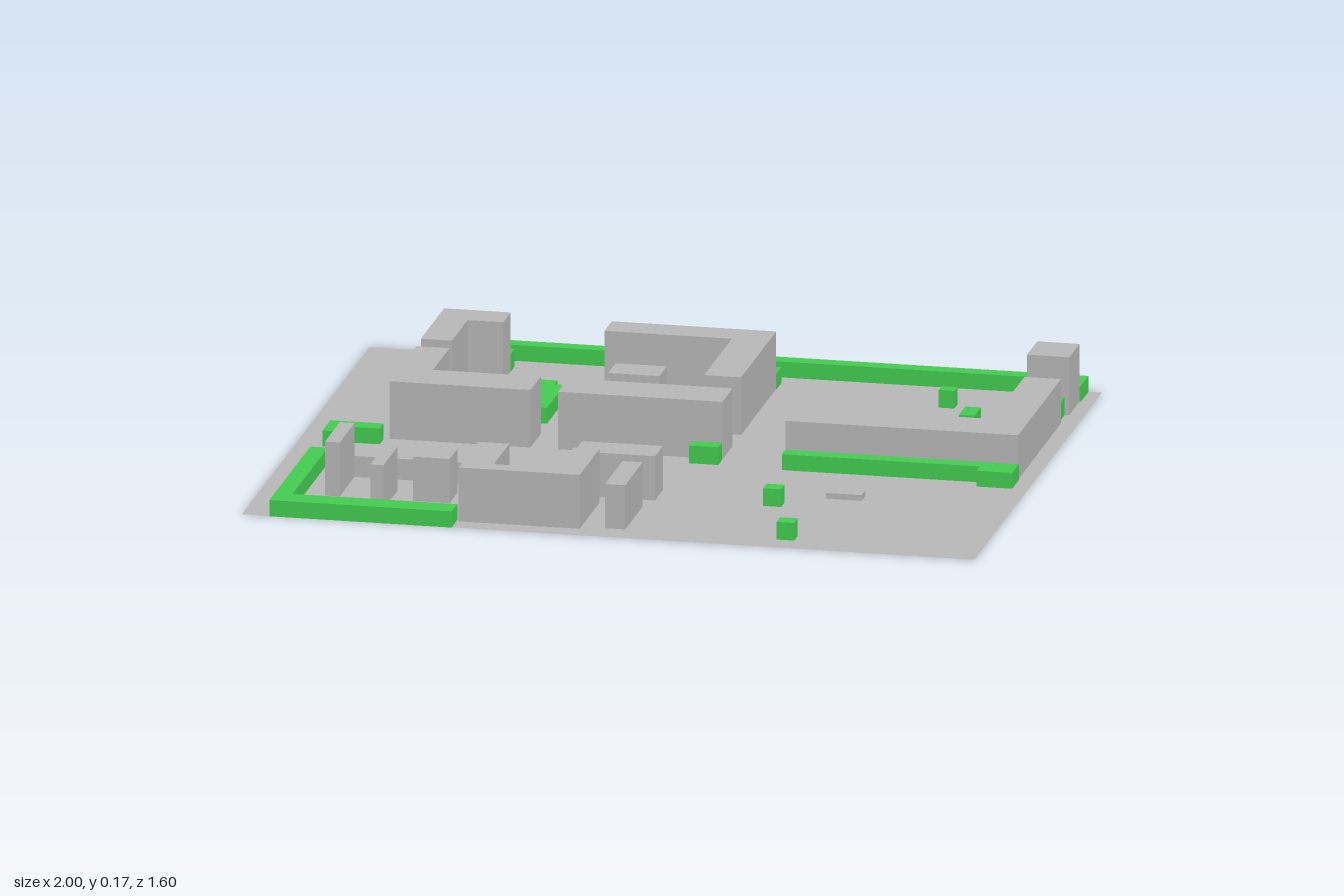
import * as THREE from 'three';

const concrete = new THREE.MeshStandardMaterial({ color: 0xb8b8b8, side: THREE.DoubleSide });
concrete.name = 'concrete grey';
const leaf = new THREE.MeshStandardMaterial({ color: 0x44cc52 });
leaf.name = 'leaf green';

// corners of a rectangle on the ground plan
const rect = (x0, x1, z0, z1) => [[x0, z0], [x1, z0], [x1, z1], [x0, z1]];

// raise a ground plan of [x, z] corners from y0 up to y1
function raise(group, name, plan, y0, y1, material) {
  const shape = new THREE.Shape(plan.map(([x, z]) => new THREE.Vector2(x, -z)));
  const geometry = new THREE.ExtrudeGeometry(shape, { depth: y1 - y0, bevelEnabled: false });
  geometry.rotateX(-Math.PI / 2).translate(0, y0, 0);
  const mesh = new THREE.Mesh(geometry, material);
  mesh.name = name;
  group.add(mesh);
}

export function createModel() {
  const model = new THREE.Group();
  model.name = 'campusSitePlan';
  const buildings = new THREE.Group();
  buildings.name = 'buildings';
  const planting = new THREE.Group();
  planting.name = 'planting';
  model.add(buildings, planting);

  // thin ground sheet, just above the undersides of the planting
  const ground = new THREE.Mesh(new THREE.PlaneGeometry(2, 1.6).rotateX(-Math.PI / 2), concrete);
  ground.position.y = 0.001;
  ground.name = 'ground';
  model.add(ground);

  const building = (name, height, plan) => raise(buildings, name, plan, 0.002, height, concrete);
  const hedge = (name, plan) => raise(planting, name, plan, 0, 0.045, leaf);

  // tall blocks round the courtyard
  building('northWestBlock', 0.166, [[-0.765, -0.655], [-0.583, -0.655], [-0.583, -0.56],
    [-0.68, -0.56], [-0.68, -0.363], [-0.765, -0.363]]);
  building('westBlock', 0.162, [[-0.765, -0.307], [-0.674, -0.307], [-0.674, -0.1],
    [-0.38, -0.1], [-0.38, 0.03], [-0.765, 0.03]]);
  building('centralBlock', 0.162, rect(-0.305, 0.144, -0.1, 0.03));
  building('northBlock', 0.162, [[-0.305, -0.645], [0.144, -0.645], [0.144, -0.205],
    [0.043, -0.205], [0.043, -0.553], [-0.305, -0.553]]);
  building('courtyardPavilion', 0.15, rect(-0.22, -0.08, -0.303, -0.21));

  // long east wing and its corner tower
  building('eastWing', 0.125, [[0.855, -0.492], [0.955, -0.492], [0.955, 0.045],
    [0.32, 0.045], [0.32, -0.09], [0.855, -0.09]]);
  building('cornerTower', 0.163, rect(0.845, 0.96, -0.7, -0.572));

  // small buildings at the front left
  building('uShapedBlock', 0.152, [[-0.42, 0.5], [-0.335, 0.5], [-0.335, 0.695], [-0.16, 0.695],
    [-0.16, 0.495], [-0.09, 0.495], [-0.09, 0.745], [-0.42, 0.745]]);
  building('slimTower', 0.152, rect(-0.82, -0.78, 0.398, 0.585));
  building('lowRow', 0.06, rect(-0.82, -0.485, 0.345, 0.398));
  building('lowShed', 0.04, rect(-0.42, -0.33, 0.345, 0.398));
  building('smallShed', 0.04, rect(-0.29, -0.235, 0.345, 0.398));
  building('squareHouse', 0.125, rect(-0.58, -0.48, 0.485, 0.585));
  building('narrowHouse', 0.125, rect(-0.675, -0.64, 0.505, 0.68));
  building('wideHouse', 0.125, rect(-0.17, 0.05, 0.345, 0.443));
  building('sideHouse', 0.125, rect(-0.025, 0.03, 0.505, 0.725));
  building('lowPlinth', 0.018, rect(0.492, 0.59, 0.283, 0.33));

  // hedges along the edges
  hedge('backHedge', [[-0.765, -0.8], [0.963, -0.8], [0.963, -0.705], [0.855, -0.705],
    [0.855, -0.757], [-0.73, -0.757], [-0.73, -0.705], [-0.68, -0.705], [-0.68, -0.655], [-0.765, -0.655]]);
  hedge('eastHedge', [[0.32, 0.046], [0.957, 0.046], [0.957, 0.13], [0.86, 0.13], [0.86, 0.09], [0.32, 0.09]]);
  hedge('westHedge', [[-0.925, 0.035], [-0.78, 0.035], [-0.78, 0.083], [-0.882, 0.083],
    [-0.882, 0.133], [-0.925, 0.133]]);
  hedge('frontHedge', [[-0.925, 0.287], [-0.877, 0.287], [-0.877, 0.73], [-0.427, 0.73],
    [-0.427, 0.8], [-0.925, 0.8]]);

  // courtyard lawn with notched corners
  hedge('courtyardLawn', [[-0.588, -0.457], [-0.412, -0.457], [-0.412, -0.42], [-0.385, -0.42],
    [-0.385, -0.2], [-0.412, -0.2], [-0.412, -0.163], [-0.588, -0.163], [-0.588, -0.2],
    [-0.62, -0.2], [-0.62, -0.42], [-0.588, -0.42]]);

  // row of bushes behind the north block
  for (const [x0, x1] of [[-0.31, -0.267], [-0.21, -0.165], [-0.118, -0.075], [-0.01, 0.053], [0.102, 0.145]]) {
    hedge('northBush', rect(x0, x1, -0.705, -0.646));
  }

  // scattered bushes
  for (const [x0, x1, z0, z1] of [
    [-0.62, -0.583, -0.705, -0.656], [0.604, 0.647, -0.607, -0.57], [0.706, 0.749, -0.435, -0.355],
    [0.599, 0.642, -0.253, -0.21], [0.904, 0.947, -0.571, -0.493], [0.064, 0.144, 0.035, 0.08],
    [0.342, 0.391, 0.383, 0.428], [0.444, 0.492, 0.683, 0.728],
  ]) {
    raise(planting, 'bush', rect(x0, x1, z0, z1), 0, 0.05, leaf);
  }

  return model;
}
